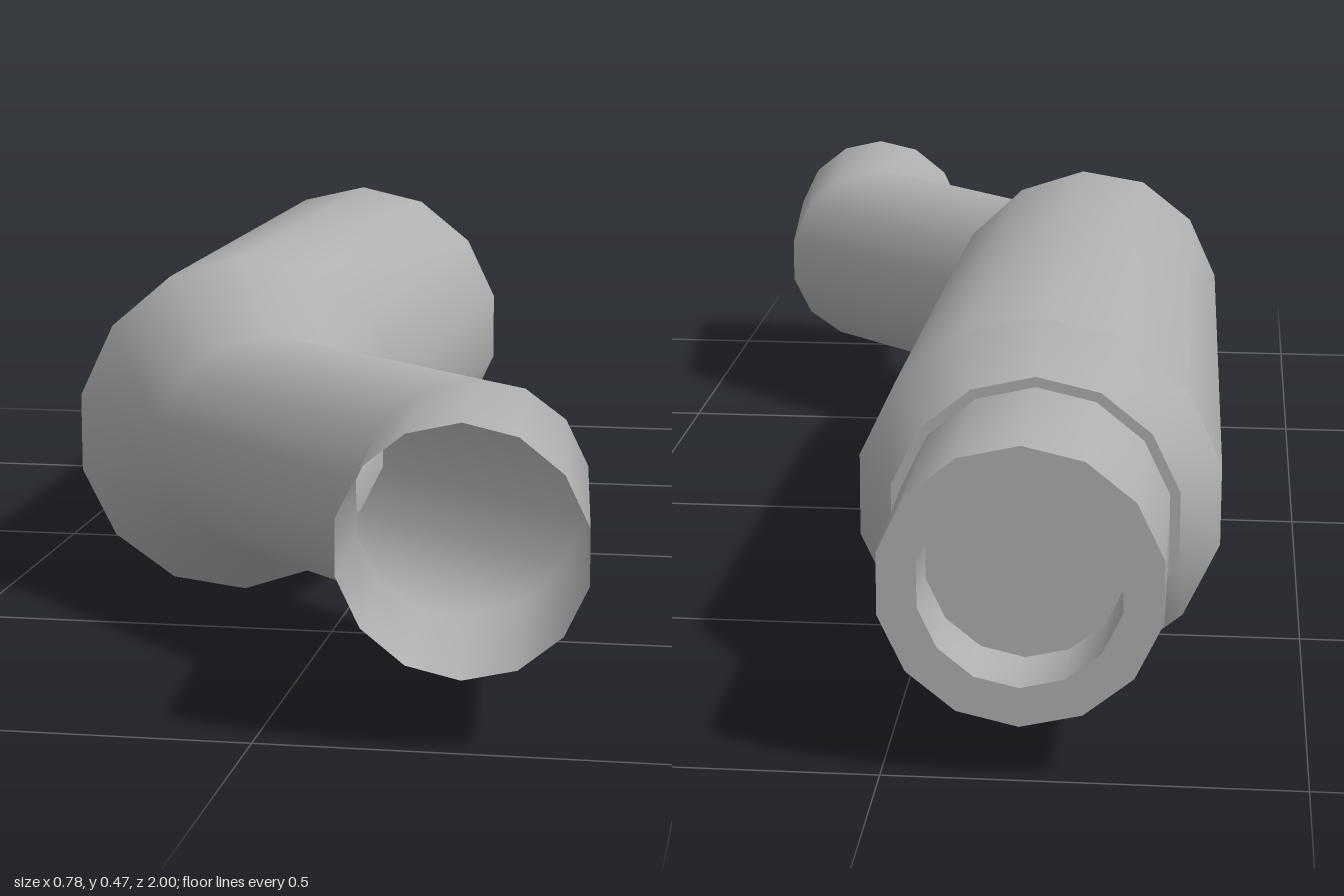
import * as THREE from 'three';

const SIDES = 14;
const AXIS_Y = 0.238;

// Cross-section: centre (x, z), half-width vector in plan (dx, dz), half-height ry
const ring = (x, z, dx, dz, ry) => ({ x, z, dx, dz, ry });
const round = (z, r) => ring(-0.163, z, r, 0, r);

// Smooth skin through a list of cross-sections running towards +z
function loft(rings) {
  const pos = [], idx = [];
  rings.forEach((s, i) => {
    for (let k = 0; k < SIDES; k++) {
      const a = (k / SIDES) * Math.PI * 2;
      pos.push(s.x + s.dx * Math.sin(a), AXIS_Y + s.ry * Math.cos(a), s.z + s.dz * Math.sin(a));
      if (i === rings.length - 1) continue;
      const p = i * SIDES + k, q = i * SIDES + (k + 1) % SIDES;
      idx.push(p, p + SIDES, q, q, p + SIDES, q + SIDES);
    }
  });
  const g = new THREE.BufferGeometry();
  g.setAttribute('position', new THREE.Float32BufferAttribute(pos, 3));
  g.setIndex(idx);
  g.computeVertexNormals();
  return g;
}

export function createModel() {
  const group = new THREE.Group();
  const metal = new THREE.MeshStandardMaterial({ color: 0xb0b0b0, side: THREE.DoubleSide });
  metal.name = 'grey metal';

  const add = (name, rings) => {
    const mesh = new THREE.Mesh(loft(rings), metal);
    mesh.name = name;
    group.add(mesh);
  };

  // Main can narrowing into the bent, open inlet pipe
  add('canAndInletPipe', [
    ring(-0.163, -0.665, 0.234, 0, 0.237),
    ring(-0.165, 0.29, 0.215, -0.092, 0.237),
    ring(-0.1, 0.418, 0.154, -0.033, 0.15),
    ring(0.22, 0.718, 0.139, -0.064, 0.15),
    ring(0.245, 1, 0.15, 0, 0.15),
  ]);

  // Tapered rear collar and its narrow end face
  add('rearCollar', [round(-0.75, 0.183), ring(-0.163, -0.665, 0.234, 0, 0.237)]);
  add('collarEnd', [round(-0.75, 0.168), round(-0.75, 0.183)]);

  // Outlet pipe with a thick rim and a shallow bore
  add('outletPipe', [round(-1, 0.17), round(-0.75, 0.17)]);
  add('outletRim', [round(-1, 0.122), round(-1, 0.17)]);
  add('outletBore', [round(-0.9, 0.122), round(-1, 0.122)]);
  add('boreFloor', [round(-0.9, 0), round(-0.9, 0.122)]);

  return group;
}
